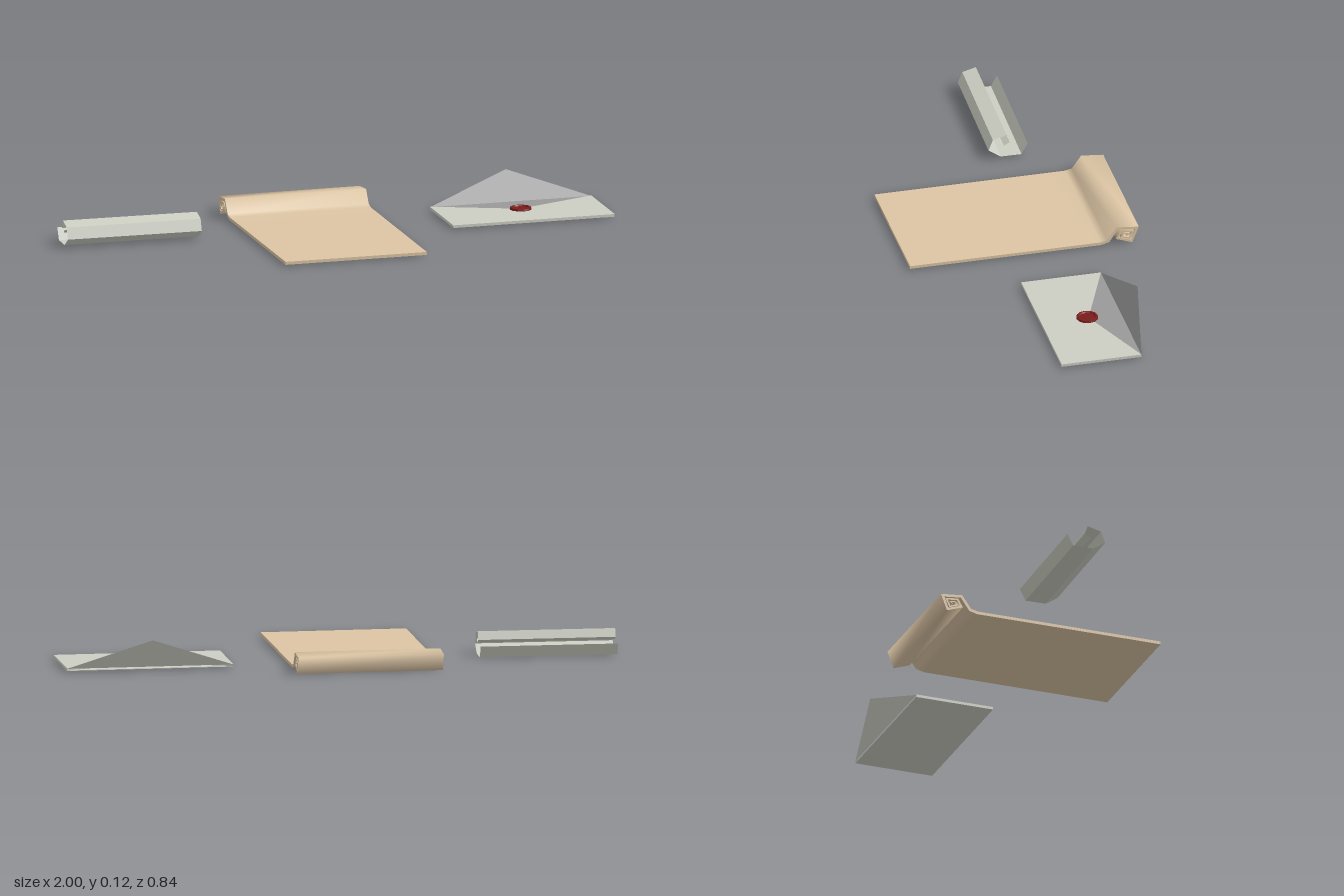
import * as THREE from 'three';
import { mergeGeometries } from 'three/addons/utils/BufferGeometryUtils.js';

const paint = (color, extra = {}) => new THREE.MeshStandardMaterial({ color, ...extra });

function add(parent, name, geometry, material) {
  const mesh = new THREE.Mesh(geometry, material);
  mesh.name = name;
  parent.add(mesh);
  return mesh;
}

// Surface between two rows of [x, y, z] points
function strip(rowA, rowB) {
  const n = rowA.length, index = [];
  for (let i = 0; i < n - 1; i++) {
    index.push(i, n + i, n + i + 1, i, n + i + 1, i + 1);
  }
  const g = new THREE.BufferGeometry();
  g.setAttribute('position', new THREE.Float32BufferAttribute([...rowA, ...rowB].flat(), 3));
  g.setIndex(index);
  g.computeVertexNormals();
  return g;
}

// Thick sheet across x that follows a [z, y, thickness] path
function thickSheet(path, x0, x1) {
  const dir = (a, b) => new THREE.Vector2(b[0] - a[0], b[1] - a[1]).normalize();
  const offset = (side) => path.map((p, i) => {
    const d0 = dir(path[Math.max(i - 1, 0)], path[Math.max(i, 1)]);
    const last = path.length - 1;
    const d1 = dir(path[Math.min(i, last - 1)], path[Math.min(i + 1, last)]);
    const t = d0.clone().add(d1).normalize();
    const h = side * p[2] / 2 / Math.max(t.dot(d0), 0.5);
    return [p[0] + t.y * h, p[1] - t.x * h];
  });
  const at = (x, row) => row.map(([z, y]) => [x, y, z]);
  const up = offset(1), low = offset(-1);
  const ul = at(x0, up), ur = at(x1, up), ll = at(x0, low), lr = at(x1, low);
  const e = path.length - 1;
  return mergeGeometries([
    strip(ul, ur), strip(lr, ll), strip(ur, lr), strip(ll, ul),
    strip([ur[0], lr[0]], [ul[0], ll[0]]),
    strip([ul[e], ll[e]], [ur[e], lr[e]]),
  ]);
}

export function createModel() {
  const model = new THREE.Group();
  model.name = 'letters';

  const parchment = paint(0xdcc5a4);
  const paper = paint(0xcccec2);
  const lining = paint(0x999999);
  const wax = paint(0x7a1c1c, { flatShading: true });

  // Unrolled parchment, its far end curled into an angular spiral
  const curl = [
    [0.42, 0.012, 0.011], [-0.2, 0.012, 0.011], [-0.28, 0.012, 0.011],
    [-0.308, 0.019, 0.011], [-0.341, 0.066, 0.01], [-0.413, 0.059, 0.01],
    [-0.394, 0.008, 0.009], [-0.341, 0.026, 0.007], [-0.356, 0.052, 0.007],
    [-0.398, 0.048, 0.006], [-0.386, 0.02, 0.006], [-0.356, 0.03, 0.005],
    [-0.365, 0.042, 0.004], [-0.383, 0.04, 0.004], [-0.375, 0.032, 0.003],
  ];
  add(model, 'parchment', thickSheet(curl, -0.33, 0.195), parchment);

  // Rolled letter: a thin faceted sheet, slightly turned
  const roll = [
    [-0.185, 0.047], [-0.163, 0.005], [-0.087, 0.005], [-0.042, 0.035], [-0.058, 0.076],
    [-0.108, 0.09], [-0.119, 0.06], [-0.098, 0.048], [-0.088, 0.06],
  ];
  const row = (x) => roll.map(([z, y]) => [x, y, z]);
  const rolled = add(model, 'rolledLetter', strip(row(0.2475), row(-0.2475)),
    paint(0xcccec2, { side: THREE.DoubleSide, flatShading: true }));
  rolled.position.set(-0.7525, 0, -0.005);
  rolled.rotation.y = -0.021;

  // Envelope
  const envelope = new THREE.Group();
  envelope.name = 'envelope';
  envelope.position.x = 0.7;
  model.add(envelope);
  const back = -0.23, front = 0.063, tip = -0.11;

  const base = new THREE.BoxGeometry(0.6, 0.002, front - back);
  base.translate(0, 0.008, (front + back) / 2);
  add(envelope, 'envelopeBack', base, paper);

  // Pocket with a V-shaped mouth
  const pocketShape = new THREE.Shape([
    [-0.3, -front], [0.3, -front], [0.3, -back], [0, -tip], [-0.3, -back],
  ].map(([x, y]) => new THREE.Vector2(x, y)));
  const pocket = new THREE.ExtrudeGeometry(pocketShape, { depth: 0.008, bevelEnabled: false });
  pocket.rotateX(-Math.PI / 2);
  pocket.translate(0, 0.009, 0);
  add(envelope, 'envelopePocket', pocket, paper);

  // Raised flap: paper outside, darker lining inside and in the mouth
  const left = [-0.3, 0.015, back], right = [0.3, 0.015, back];
  const peak = [0, 0.12, -0.29], mouth = [0, 0.015, tip];
  const triangle = (a, b, c) => {
    const g = new THREE.BufferGeometry();
    g.setAttribute('position', new THREE.Float32BufferAttribute([...a, ...b, ...c], 3));
    g.computeVertexNormals();
    return g;
  };
  add(envelope, 'flapOutside', triangle(right, left, peak), paper);
  add(envelope, 'flapLining', triangle(left, right, peak), lining);
  add(envelope, 'mouthLining', triangle(left, mouth, right), lining);

  // Wax seal with a raised rim
  const sealProfile = [[0, 0.015], [0.038, 0.015], [0.04, 0.018], [0.038, 0.024],
    [0.03, 0.025], [0.027, 0.021], [0, 0.021]].map(([r, y]) => new THREE.Vector2(r, y));
  const seal = add(envelope, 'waxSeal', new THREE.LatheGeometry(sealProfile, 12), wax);
  seal.position.z = -0.105;

  return model;
}
